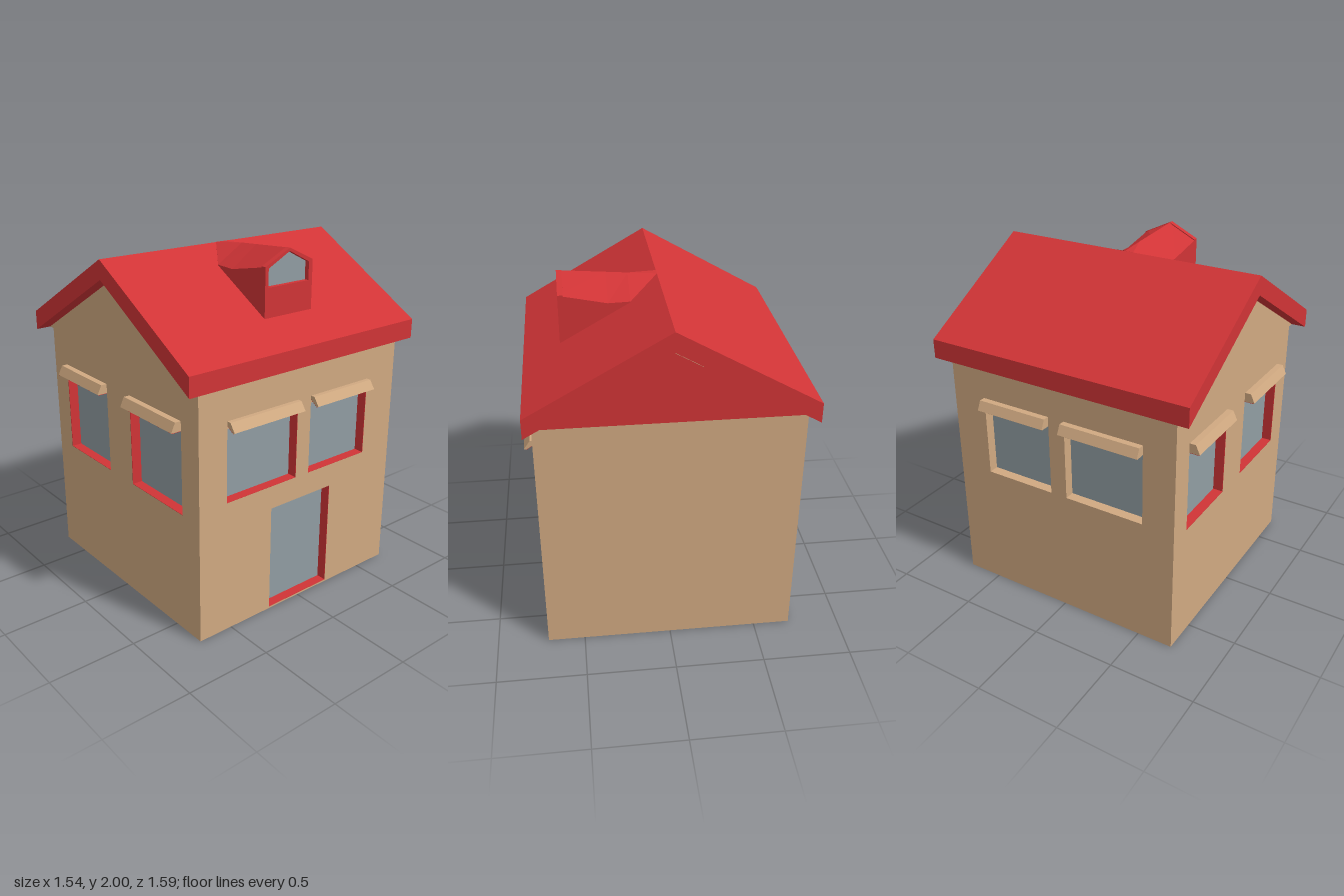
import * as THREE from 'three';

const paint = (color) => new THREE.MeshStandardMaterial({ color, flatShading: true, side: THREE.DoubleSide });

const W = 0.71;        // half width of the walls
const EAVE = 1.42;     // wall height
const DEPTH = 0.06;    // depth of the window reveals

const shapeOf = (pts) => new THREE.Shape(pts.map(([x, y]) => new THREE.Vector2(x, y)));
const rect = (x0, x1, y0, y1) => [[x0, y0], [x1, y0], [x1, y1], [x0, y1]];
const extrude = (shape, depth, z) =>
  new THREE.ExtrudeGeometry(shape, { depth, bevelEnabled: false }).translate(0, 0, z);

export function createModel() {
  const house = new THREE.Group();
  house.name = 'house';
  const tan = paint(0xd0a981), red = paint(0xd03436), glass = paint(0x919da2);

  const add = (parent, name, geometry, material) => {
    const mesh = new THREE.Mesh(geometry, material);
    mesh.name = name;
    parent.add(mesh);
    return mesh;
  };

  // One wall, built facing +z and then turned; openings are [x0, x1, y0, y1]
  function wall(name, turn, openings, revealPaint, awning) {
    const group = new THREE.Group();
    group.name = name;
    const face = shapeOf(rect(-W, W, 0, EAVE));
    for (const [x0, x1, y0, y1] of openings) {
      const hole = shapeOf(rect(x0, x1, y0, y1));
      face.holes.push(hole);

      // reveal lining the opening, with the pane at its back
      const m = 0.008;
      const lining = shapeOf(rect(x0 - m, x1 + m, y0 - m, y1 + m));
      lining.holes.push(hole);
      add(group, 'reveal', extrude(lining, DEPTH, W - DEPTH - 0.002), revealPaint);
      const isDoor = y0 < 0.1;
      add(group, isDoor ? 'door' : 'windowPane',
        new THREE.ShapeGeometry(hole).translate(0, 0, W - DEPTH), glass);
      if (isDoor) continue;

      // awning: side profile [outward, y] swept across the window
      const sweep = (pts) => extrude(shapeOf(pts), x1 - x0, 0)
        .rotateY(-Math.PI / 2).translate(x1, 0, W);
      add(group, 'awning', sweep(awning), tan);
      const under = awning.slice(3);
      add(group, 'awningUnderside',
        sweep([...under, ...under.map(([x, y]) => [x, y - 0.002]).reverse()]), revealPaint);
    }
    add(group, 'wallFace', new THREE.ShapeGeometry(face).translate(0, 0, W), tan);
    group.rotation.y = turn;
    house.add(group);
  }

  const solidAwning = [[0, 1.228], [0.035, 1.228], [0.06, 1.176], [0.055, 1.174], [0, 1.174]];
  const thinAwning = [[0, 1.226], [0.025, 1.226], [0.058, 1.178], [0.046, 1.174], [0, 1.205]];

  wall('frontWall', 0, [[-0.57, -0.13, 0.7, 1.174], [0.1, 0.565, 0.7, 1.174]], red, solidAwning);
  wall('leftWall', Math.PI / 2,
    [[-0.53, -0.045, 0.77, 1.185], [0.05, 0.49, 0.77, 1.185], [-0.22, 0.225, 0.01, 0.635]],
    red, thinAwning);
  wall('backWall', Math.PI, [], tan, solidAwning);
  wall('rightWall', -Math.PI / 2,
    [[-0.5, -0.065, 0.75, 1.174], [0.035, 0.52, 0.75, 1.174]], tan, solidAwning);

  // Floor in three strips
  for (const [x0, x1, mat] of [[-W, -0.14, red], [-0.14, 0, tan], [0, W, red]]) {
    add(house, 'floor', new THREE.PlaneGeometry(x1 - x0, 2 * W)
      .rotateX(Math.PI / 2).translate((x0 + x1) / 2, 0, 0), mat);
  }

  // Gabled roof, with gable ends flush with the walls
  const R = 0.753;
  add(house, 'roof', extrude(shapeOf([
    [-R, EAVE], [0, 1.85], [R, EAVE], [R, 1.53], [0, 1.957], [-R, 1.53],
  ]), 1.59, -0.795), red);
  const gable = shapeOf([[-R, EAVE], [R, EAVE], [0, 1.85]]);
  add(house, 'frontGable', new THREE.ShapeGeometry(gable).translate(0, 0, W), tan);
  add(house, 'backGable', new THREE.ShapeGeometry(gable).rotateY(Math.PI).translate(0, 0, -W), red);
  add(house, 'backVergeStrip', extrude(shapeOf([
    [0, 1.85], [-0.14, 1.77], [-0.14, 1.767], [0, 1.847],
  ]), 0.08, -0.793), tan);
  for (const s of [-1, 1]) {
    add(house, 'soffit', new THREE.PlaneGeometry(R - W, 2 * W)
      .rotateX(Math.PI / 2).translate(s * (R + W) / 2, EAVE, 0), red);
  }

  // Dormer body: cross-sections along x as [x, zPlus, zMinus, base, eave, ridge]
  const dormer = new THREE.Group();
  dormer.name = 'dormer';
  const sections = [
    [0, 0.035, -0.07, 1.93, 1.958, 1.958],
    [0.16, 0.147, -0.187, 1.8, 1.87, 1.971],
    [0.28, 0.147, -0.187, 1.74, 1.866, 1.98],
    [0.545, 0.147, -0.187, 1.6, 1.92, 2],
  ].map(([x, a, b, base, eave, ridge]) =>
    [[x, base, a], [x, eave, a], [x, ridge, (a + b) / 2], [x, eave, b], [x, base, b]]);
  const pos = [];
  for (let i = 0; i < sections.length - 1; i++) {
    for (let j = 0; j < 4; j++) {
      const [a, d] = [sections[i][j], sections[i][j + 1]];
      const [b, c] = [sections[i + 1][j], sections[i + 1][j + 1]];
      pos.push(...a, ...b, ...c, ...a, ...c, ...d);
    }
  }
  const body = new THREE.BufferGeometry();
  body.setAttribute('position', new THREE.Float32BufferAttribute(pos, 3));
  body.computeVertexNormals();
  add(dormer, 'dormerBody', body, red);

  // Dormer front with its five-sided window
  const front = shapeOf([[-0.147, 1.6], [0.187, 1.6], [0.187, 1.92], [0.02, 2], [-0.147, 1.92]]);
  const pane = shapeOf([[-0.125, 1.81], [0.16, 1.81], [0.16, 1.91], [0.02, 1.983], [-0.125, 1.91]]);
  front.holes.push(pane);
  add(dormer, 'dormerFront', extrude(front, 0.03, 0.515).rotateY(Math.PI / 2), red);
  add(dormer, 'dormerPane',
    new THREE.ShapeGeometry(pane).translate(0, 0, 0.518).rotateY(Math.PI / 2), glass);
  house.add(dormer);

  return house;
}
